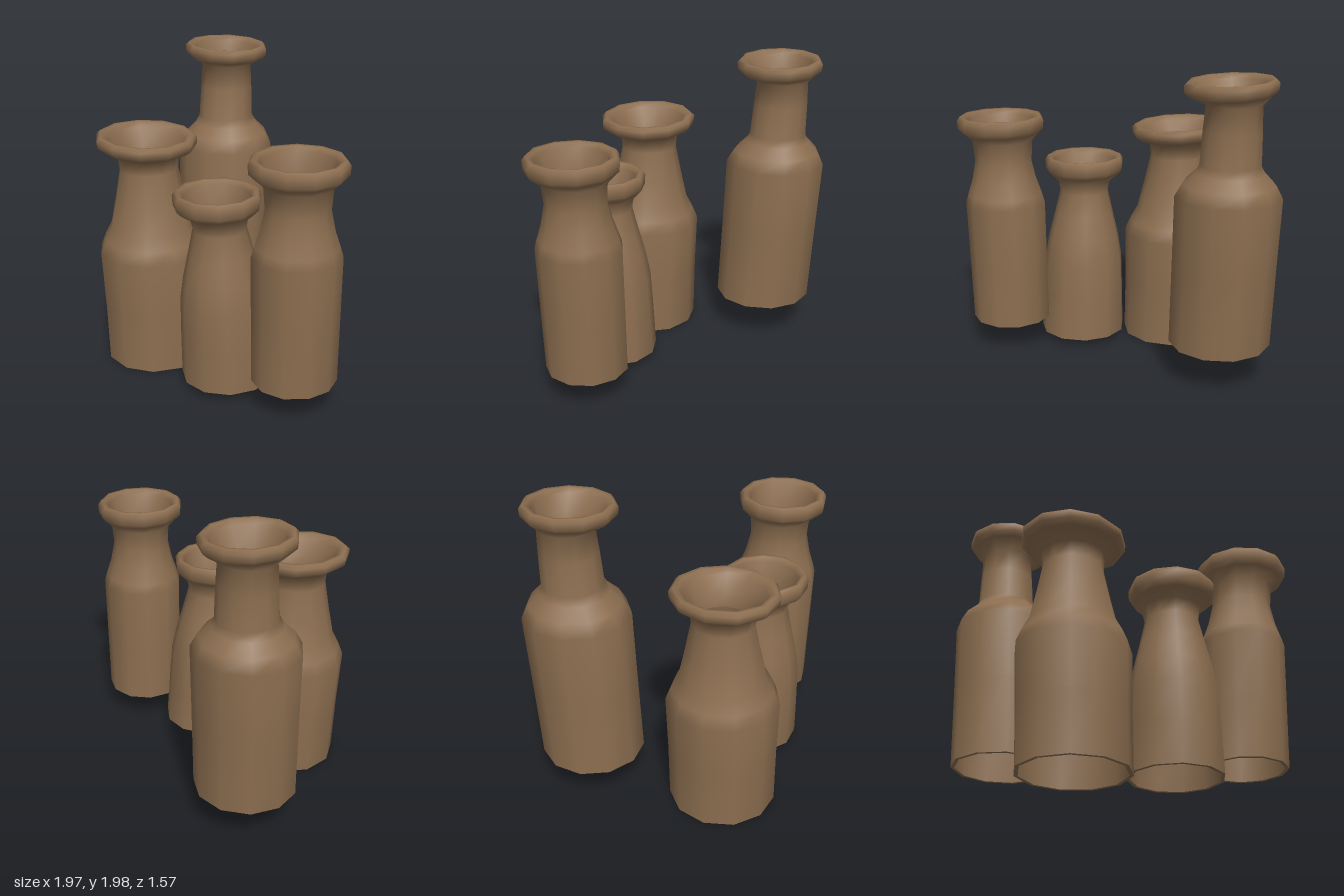
import * as THREE from 'three';

const SIDES = 11;
const clay = new THREE.MeshStandardMaterial({ color: 0x8c6e50, side: THREE.DoubleSide });
clay.name = 'brown clay';

// joins a list of rings [y, centre x, centre z, radius, tilt] into one smooth skin
function skin(rows, turn) {
  const pos = [], idx = [];
  for (const [y, cx, cz, r, tilt = 0] of rows) {
    for (let j = 0; j < SIDES; j++) {
      const a = turn + (j / SIDES) * Math.PI * 2;
      const dx = Math.cos(a) * r * 1.015;
      pos.push(cx + dx, y + dx * tilt, cz + Math.sin(a) * r * 1.015);
    }
  }
  for (let i = 0; i < rows.length - 1; i++) {
    for (let j = 0; j < SIDES; j++) {
      const a = i * SIDES + j, b = i * SIDES + ((j + 1) % SIDES);
      idx.push(a, a + SIDES, b, b, a + SIDES, b + SIDES);
    }
  }
  const g = new THREE.BufferGeometry();
  g.setAttribute('position', new THREE.Float32BufferAttribute(pos, 3));
  g.setIndex(idx);
  g.computeVertexNormals();
  return g;
}

// profile: [height, radius] from foot to neck; the axis leans from foot [x, z] to neck [x, z]
function pot(name, turn, foot, neck, profile, rim) {
  const group = new THREE.Group();
  group.name = name;
  const add = (part, rows) => {
    const m = new THREE.Mesh(skin(rows, turn), clay);
    m.name = part;
    group.add(m);
  };
  const [footY, footR] = profile[0];
  const [neckY, neckR] = profile[profile.length - 1];
  const ring = (y, r) => {
    const t = (y - footY) / (neckY - footY);
    return [y, THREE.MathUtils.lerp(foot[0], neck[0], t), THREE.MathUtils.lerp(foot[1], neck[1], t), r];
  };
  const lip = (y, r) => [y, rim.x, rim.z, rim.r * r, rim.tilt];
  const h = rim.top - rim.y;
  const hole = neckR * 0.8 + 0.012;
  const throat = ring(neckY - 0.09, hole);

  // outer wall, rolled rim and funnel mouth
  add('wallAndRim', [
    ...profile.map(([y, r]) => ring(y, r)),
    lip(rim.y - 0.02, 0.88),
    lip(rim.y + h * 0.1, 0.985),
    lip(rim.y + h * 0.7, 1),
    lip(rim.top, 0.93),
    lip(rim.top - 0.003, 0.85),
    lip(rim.top - 0.03, 0.77),
    ring(neckY, hole + 0.012),
    throat,
  ]);

  // inner wall down to the open foot
  const inner = profile.filter(([y]) => y < neckY - 0.1).reverse();
  add('innerWall', [throat, ...inner.map(([y, r]) => ring(y, r - 0.022))]);

  // thin ring closing the foot edge
  add('footEdge', [ring(footY, footR - 0.022), ring(footY, footR)]);
  return group;
}

export function createModel() {
  const model = new THREE.Group();
  model.name = 'chimneyPots';

  model.add(pot('tallBackPot', 0.1, [-0.645, -0.41], [-0.665, -0.495],
    [[0.28, 0.322], [0.8, 0.324], [1.27, 0.328], [1.35, 0.285], [1.42, 0.215],
      [1.47, 0.187], [1.68, 0.178], [1.84, 0.168]],
    { y: 1.91, top: 1.985, x: -0.65, z: -0.475, r: 0.28, tilt: -0.05 }));

  model.add(pot('widePot', 0.3, [-0.495, 0.43], [-0.528, 0.423],
    [[0.02, 0.335], [0.4, 0.338], [0.77, 0.348], [0.85, 0.315], [0.94, 0.268],
      [1.12, 0.228], [1.32, 0.188], [1.41, 0.198]],
    { y: 1.475, top: 1.547, x: -0.53, z: 0.43, r: 0.322, tilt: -0.05 }));

  model.add(pot('shortPot', 0.2, [0.15, 0.43], [0.128, 0.465],
    [[0.075, 0.29], [0.35, 0.281], [0.6, 0.27], [0.76, 0.242], [0.92, 0.203],
      [1.08, 0.166], [1.16, 0.182]],
    { y: 1.225, top: 1.325, x: 0.125, z: 0.48, r: 0.27, tilt: 0 }));

  model.add(pot('rightPot', 0, [0.66, 0.386], [0.687, 0.406],
    [[0.21, 0.262], [0.6, 0.265], [1.04, 0.268], [1.1, 0.25], [1.2, 0.217],
      [1.33, 0.19], [1.47, 0.2]],
    { y: 1.54, top: 1.635, x: 0.695, z: 0.415, r: 0.288, tilt: -0.01 }));

  return model;
}
